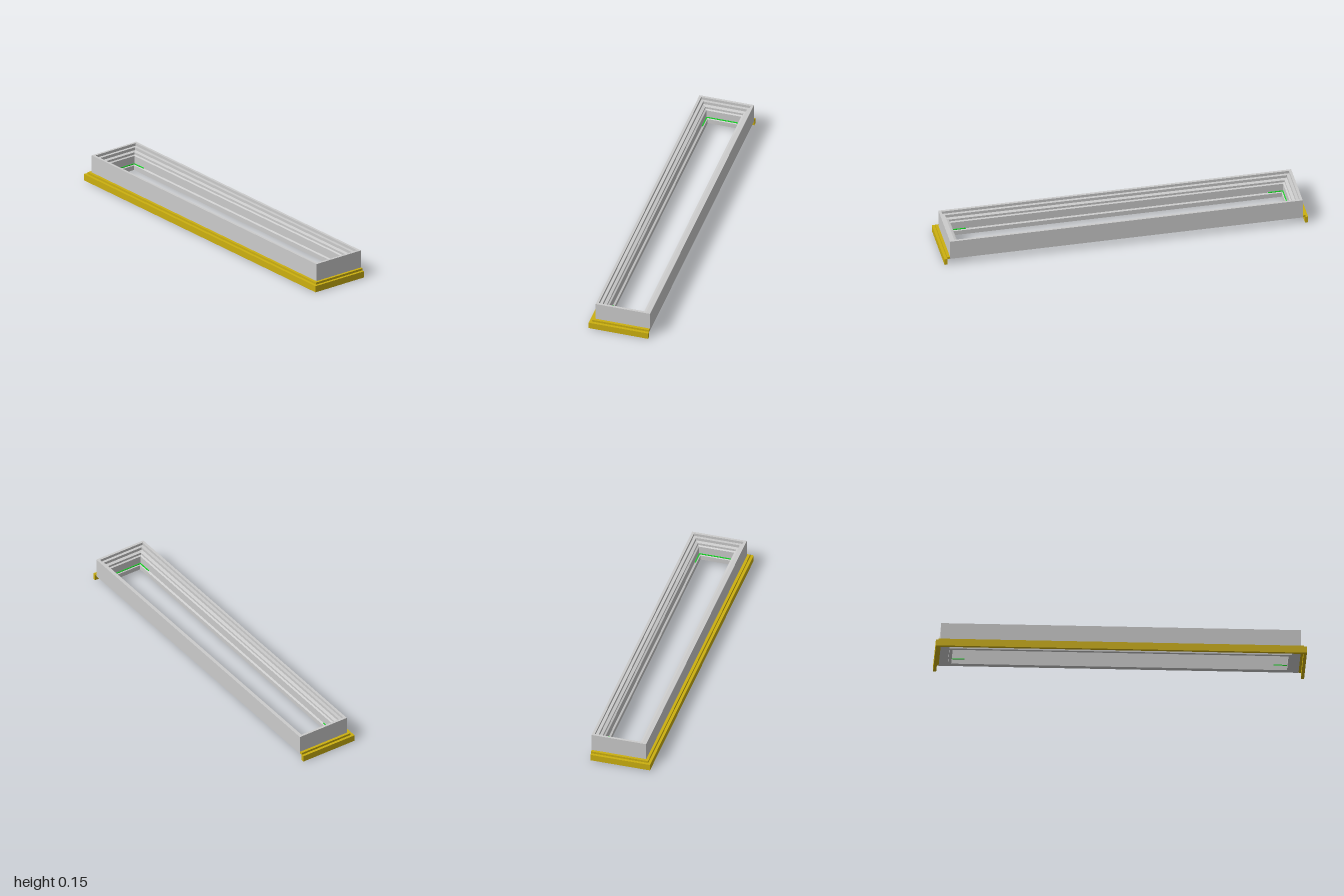
import * as THREE from 'three';

const HALF_X = 0.97, HALF_Z = 0.153, CENTRE_Z = -0.0135;
// Plan corners, from the back (-x) round the front to the back (+x)
const CORNERS = [[-1, -1], [-1, 1], [1, 1], [1, -1]];

// Sweeps a counter-clockwise section [outward offset, height] round the mitred rectangle
function sweep(section, closed, backZ) {
  const rings = CORNERS.map(([sx, sz]) => section.map(([u, y]) => [
    sx * (HALF_X + u),
    y,
    sz < 0 && !closed ? backZ : CENTRE_Z + sz * (HALF_Z + u),
  ]));
  const pos = [];
  const n = section.length;
  const tri = (a, b, c) => pos.push(...a, ...b, ...c);
  for (let i = 0; i < (closed ? 4 : 3); i++) {
    const p = rings[i], q = rings[(i + 1) % 4];
    for (let j = 0; j < n; j++) {
      const k = (j + 1) % n;
      tri(p[j], q[j], q[k]);
      tri(p[j], q[k], p[k]);
    }
  }
  // Cut ends of an open run
  if (!closed) {
    const outline = section.map(([u, y]) => new THREE.Vector2(u, y));
    for (const [a, b, c] of THREE.ShapeUtils.triangulateShape(outline, [])) {
      tri(rings[0][a], rings[0][b], rings[0][c]);
      tri(rings[3][a], rings[3][c], rings[3][b]);
    }
  }
  const geo = new THREE.BufferGeometry();
  geo.setAttribute('position', new THREE.Float32BufferAttribute(pos, 3));
  geo.computeVertexNormals();
  return geo;
}

export function createModel() {
  const group = new THREE.Group();
  const grey = new THREE.MeshStandardMaterial({ color: 0xcccccc });
  const yellow = new THREE.MeshStandardMaterial({ color: 0xccb010 });
  const green = new THREE.MeshStandardMaterial({ color: 0x10d820 });
  const add = (name, geo, mat) => {
    const mesh = new THREE.Mesh(geo, mat);
    mesh.name = name;
    group.add(mesh);
    return mesh;
  };

  // Frame with a stepped inside and a lip hanging round the opening
  add('frame', sweep([
    [0, 0.036], [0, 0.147], [-0.014, 0.147], [-0.014, 0.132],
    [-0.03, 0.132], [-0.03, 0.116], [-0.046, 0.112], [-0.046, 0.1],
    [-0.055, 0.096], [-0.055, 0.05], [-0.065, 0.046], [-0.065, 0.02],
    [-0.048, 0.02], [-0.048, 0.036],
  ], true), grey);

  // Stepped trim on the front and both ends, open at the back
  add('trim', sweep([
    [0.013, 0], [0.03, 0], [0.03, 0.036], [0.015, 0.036],
    [0.015, 0.048], [0, 0.048], [0, 0.036], [0.013, 0.036],
  ], false, -0.165), yellow);

  // Thin green seals in the inner corners
  for (const sx of [-1, 1]) {
    const end = add('endSeal', new THREE.BoxGeometry(0.005, 0.004, 0.19), green);
    end.position.set(sx * 0.912, 0.052, CENTRE_Z);
    for (const sz of [-1, 1]) {
      const side = add('cornerSeal', new THREE.BoxGeometry(0.08, 0.004, 0.005), green);
      side.position.set(sx * 0.872, 0.052, CENTRE_Z + sz * 0.095);
    }
  }
  return group;
}
